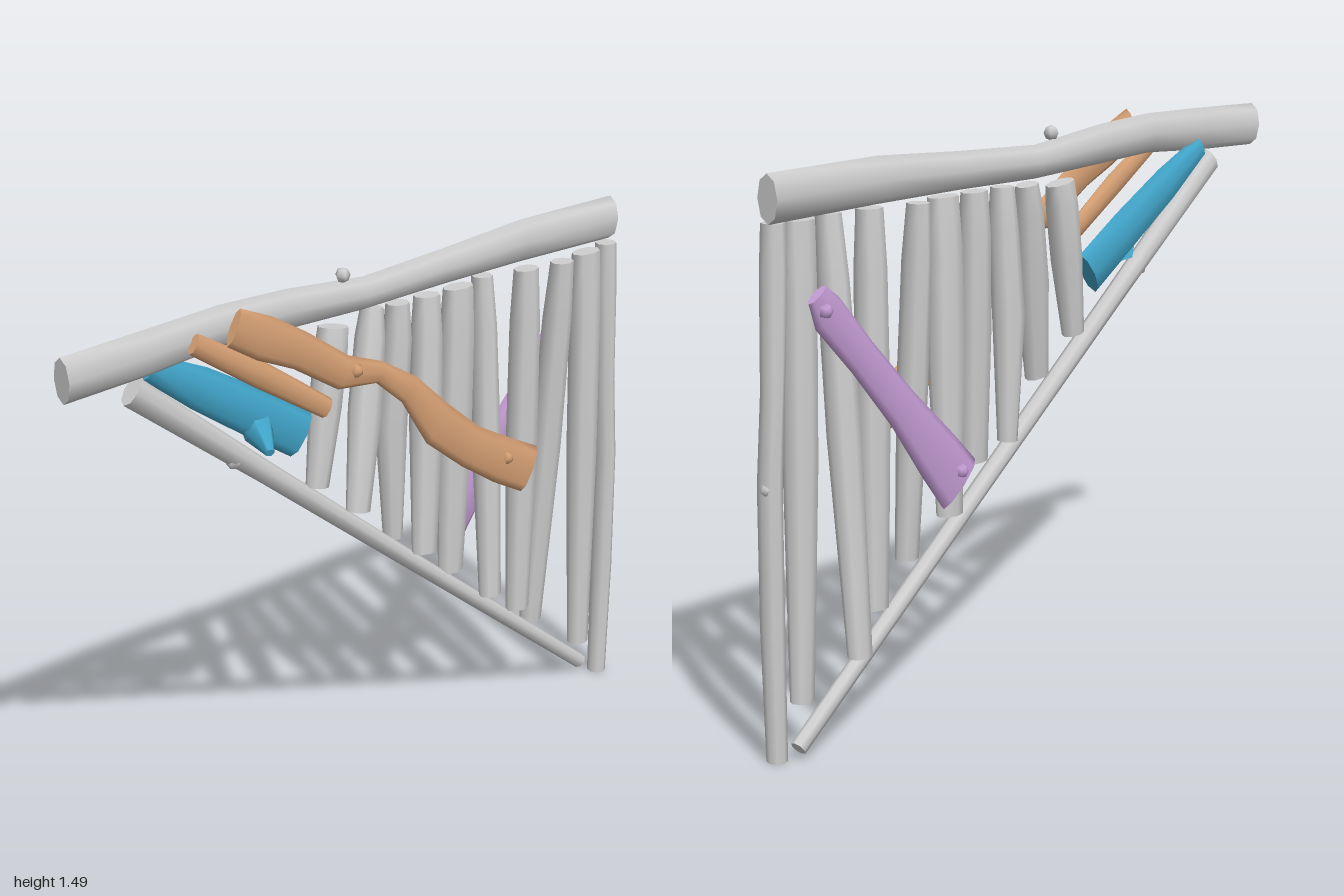
import * as THREE from 'three';

const mat = (name, color) => {
  const m = new THREE.MeshStandardMaterial({ color });
  m.name = name;
  return m;
};

const SIDES = 8;

// Rough pole lofted through rings [x, y, z, half width, half depth]
function pole(name, material, rings) {
  const n = rings.length - 1;
  const geo = new THREE.CylinderGeometry(1, 1, 1, SIDES, n);
  const pos = geo.attributes.position;
  for (let i = 0; i < pos.count; i++) {
    const k = Math.round((pos.getY(i) + 0.5) * n);
    const [x, y, z, w, d] = rings[k];
    const a = rings[Math.max(k - 1, 0)], b = rings[Math.min(k + 1, n)];
    const dx = b[0] - a[0], dy = b[1] - a[1], len = Math.hypot(dx, dy);
    const s = pos.getX(i) * w;
    pos.setXYZ(i, x + s * dy / len, y - s * dx / len, z + pos.getZ(i) * d);
  }
  geo.computeVertexNormals();
  // Blend the normals along the seam
  const nor = geo.attributes.normal, v = new THREE.Vector3(), u = new THREE.Vector3();
  for (let r = 0; r <= n; r++) {
    const i = r * (SIDES + 1), j = i + SIDES;
    v.fromBufferAttribute(nor, i).add(u.fromBufferAttribute(nor, j)).normalize();
    nor.setXYZ(i, v.x, v.y, v.z);
    nor.setXYZ(j, v.x, v.y, v.z);
  }
  const mesh = new THREE.Mesh(geo, material);
  mesh.name = name;
  return mesh;
}

export function createModel() {
  const group = new THREE.Group();
  group.name = 'woodenFencePanel';
  const grey = mat('grey wood', 0xcfcfcf);
  const tan = mat('tan wood', 0xd6a074);
  const blue = mat('blue wood', 0x42a6cb);
  const purple = mat('purple wood', 0xc49cd4);
  const add = (name, material, rings) => group.add(pole(name, material, rings));

  // Frame: top beam, upright post and sloping rail
  add('topBeam', grey, [
    [-1, 1.415, -0.01, 0.06, 0.03], [-0.75, 1.425, -0.01, 0.06, 0.033],
    [-0.5, 1.438, -0.015, 0.055, 0.033], [-0.28, 1.43, -0.02, 0.054, 0.033],
    [0, 1.412, -0.025, 0.045, 0.033], [0.3, 1.422, -0.025, 0.05, 0.033],
    [0.6, 1.432, -0.025, 0.06, 0.034], [0.975, 1.428, -0.022, 0.062, 0.034],
  ]);
  add('rightPost', grey, [
    [0.965, 0.01, 0, 0.026, 0.028], [0.97, 0.36, 0, 0.029, 0.033],
    [0.968, 0.72, 0, 0.029, 0.034], [0.952, 0.95, 0, 0.026, 0.034],
    [0.94, 1.25, 0, 0.034, 0.034], [0.938, 1.365, 0, 0.03, 0.03],
  ]);
  add('slopingRail', grey, [
    [-0.785, 1.335, -0.02, 0.04, 0.025], [-0.35, 1.005, -0.022, 0.03, 0.025],
    [0.3, 0.51, -0.025, 0.024, 0.025], [0.925, 0.04, -0.035, 0.022, 0.022],
  ]);

  // Slats: bottom x, y, z, half width; mid offset, half width; top x, y, z, half width
  const slats = [
    [-0.175, 0.92, -0.015, 0.034, 0, 0.047, -0.105, 1.345, -0.025, 0.05],
    [-0.045, 0.82, 0.005, 0.038, 0, 0.052, 0.055, 1.36, -0.045, 0.032],
    [0.13, 0.68, -0.04, 0.026, -0.015, 0.048, 0.125, 1.36, -0.02, 0.034],
    [0.205, 0.63, 0.01, 0.042, 0, 0.05, 0.23, 1.36, -0.015, 0.042],
    [0.345, 0.52, -0.025, 0.042, 0, 0.058, 0.345, 1.36, -0.01, 0.052],
    [0.468, 0.42, 0.015, 0.035, 0, 0.042, 0.465, 1.36, -0.035, 0.03],
    [0.612, 0.325, -0.01, 0.038, 0, 0.05, 0.6, 1.36, 0.005, 0.04],
    [0.725, 0.235, -0.06, 0.036, 0, 0.048, 0.722, 1.36, 0.028, 0.036],
    [0.868, 0.14, 0.005, 0.034, 0, 0.048, 0.842, 1.36, 0.01, 0.05],
  ];
  slats.forEach(([bx, by, bz, bw, off, mw, tx, ty, tz, tw], i) => {
    add('slat' + (i + 1), grey, [
      [bx, by, bz, bw, 0.028],
      [(bx + tx) / 2 + off, (by + ty) / 2, (bz + tz) / 2, mw, 0.04],
      [bx * 0.15 + tx * 0.85, by * 0.15 + ty * 0.85, bz * 0.15 + tz * 0.85, (mw + tw) / 2, 0.04],
      [tx, ty, tz, tw, 0.03],
    ]);
  });

  // Long crooked front brace and the short one beside it
  add('frontBrace', tan, [
    [-0.52, 1.455, 0.06, 0.05, 0.014], [-0.42, 1.405, 0.06, 0.058, 0.016],
    [-0.3, 1.345, 0.06, 0.05, 0.016], [-0.15, 1.25, 0.06, 0.046, 0.016],
    [-0.02, 1.22, 0.06, 0.03, 0.015], [0.09, 1.145, 0.06, 0.04, 0.015],
    [0.2, 1.02, 0.06, 0.062, 0.017], [0.33, 0.92, 0.06, 0.06, 0.018],
    [0.46, 0.845, 0.06, 0.066, 0.018], [0.57, 0.79, 0.06, 0.068, 0.016],
  ]);
  add('shortBrace', tan, [
    [-0.625, 1.43, 0.03, 0.028, 0.014], [-0.42, 1.305, 0.035, 0.035, 0.018],
    [-0.185, 1.155, 0.035, 0.028, 0.015],
  ]);

  // Broken brace with a twig stub
  add('stubBrace', blue, [
    [-0.72, 1.378, -0.03, 0.034, 0.018], [-0.56, 1.285, -0.03, 0.056, 0.025],
    [-0.38, 1.175, -0.025, 0.064, 0.028], [-0.225, 1.08, -0.025, 0.066, 0.026],
  ]);
  const stub = new THREE.Mesh(new THREE.CylinderGeometry(0.012, 0.045, 0.1, 6), blue);
  stub.name = 'twigStub';
  const from = new THREE.Vector3(-0.38, 1.135, -0.02), to = new THREE.Vector3(-0.415, 1.1, 0.07);
  stub.position.copy(from).lerp(to, 0.5);
  stub.quaternion.setFromUnitVectors(new THREE.Vector3(0, 1, 0), to.sub(from).normalize());
  group.add(stub);

  // Back brace
  add('backBrace', purple, [
    [0.35, 0.61, -0.065, 0.083, 0.017], [0.43, 0.7, -0.065, 0.076, 0.02],
    [0.56, 0.85, -0.062, 0.056, 0.02], [0.7, 1.005, -0.06, 0.05, 0.018],
    [0.82, 1.135, -0.06, 0.054, 0.018], [0.855, 1.185, -0.06, 0.034, 0.014],
  ]);

  // Pegs: five-sided rounded knobs, each pointing out of the wood it pins
  const pegGeo = new THREE.SphereGeometry(0.021, 5, 4);
  const up = new THREE.Vector3(0, 1, 0);
  [
    ['beamPeg', grey, [-0.08, 1.48, -0.015], [0, 1, 0]],
    ['postPeg', grey, [0.98, 0.715, -0.005], [1, 0, 0]],
    ['railPeg', grey, [-0.46, 1.065, -0.02], [-0.6, -0.8, 0]],
    ['bracePegUpper', tan, [-0.115, 1.25, 0.07], [0, 0, 1]],
    ['bracePegLower', tan, [0.465, 0.855, 0.07], [0, 0, 1]],
    ['backPegUpper', purple, [0.84, 1.145, -0.072], [0, 0, -1]],
    ['backPegLower', purple, [0.36, 0.65, -0.078], [0, 0, -1]],
  ].forEach(([name, material, at, out]) => {
    const peg = new THREE.Mesh(pegGeo, material);
    peg.name = name;
    peg.position.set(...at);
    peg.quaternion.setFromUnitVectors(up, new THREE.Vector3(...out));
    group.add(peg);
  });
  return group;
}
